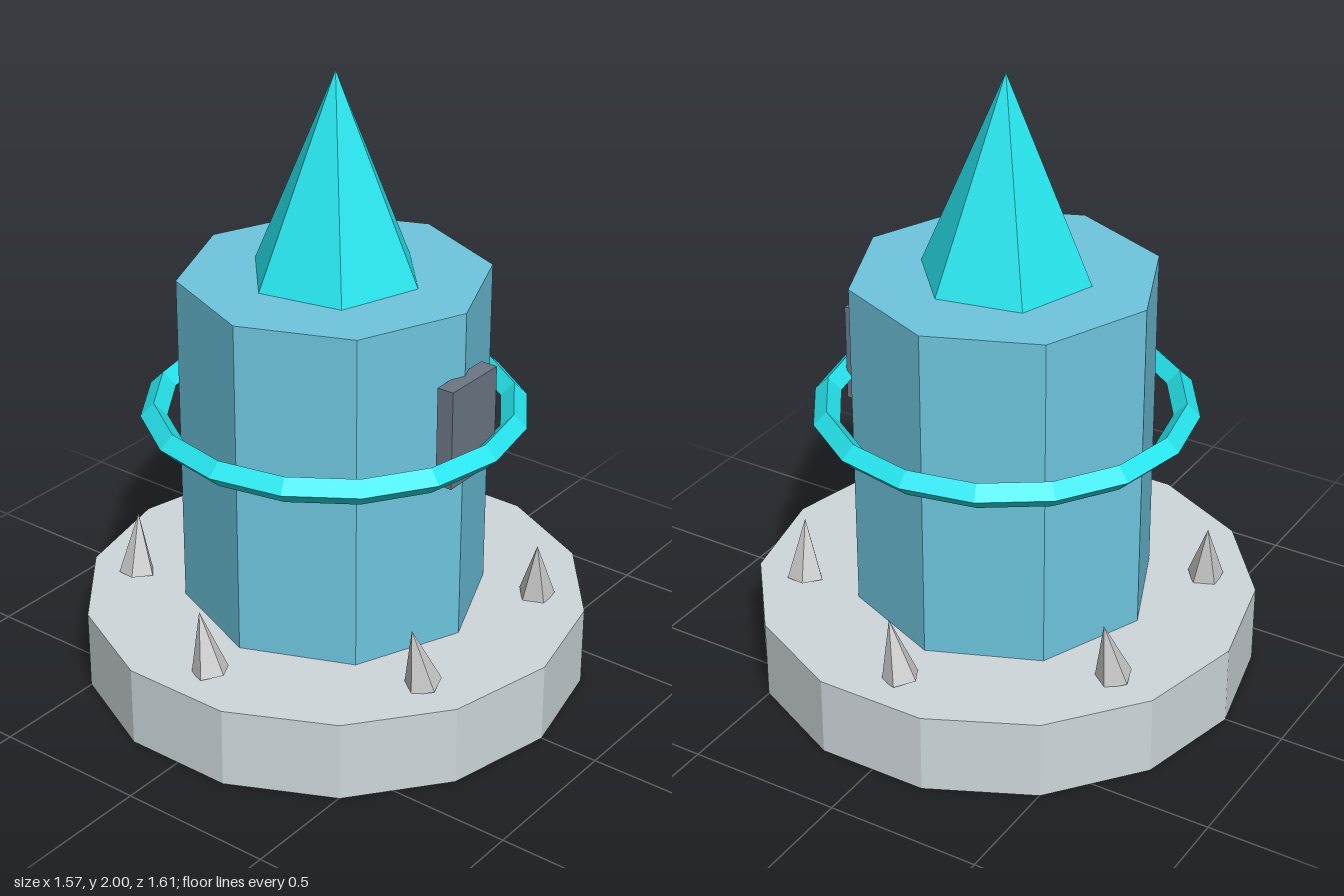
import * as THREE from 'three';

const mat = (color) => new THREE.MeshStandardMaterial({ color, flatShading: true });

function part(name, geometry, material, x = 0, y = 0, z = 0) {
  const mesh = new THREE.Mesh(geometry, material);
  mesh.name = name;
  mesh.position.set(x, y, z);
  return mesh;
}

export function createModel() {
  const model = new THREE.Group();
  model.name = 'crystalTower';
  const grey = mat(0xcccccc);
  const stone = mat(0xcfd8dc);
  const blue = mat(0x6ec6df);
  const cyan = mat(0x26e5ee);
  const slate = mat(0x6b7785);

  // Fourteen-sided base slab
  model.add(part('base', new THREE.CylinderGeometry(0.805, 0.805, 0.26, 14), stone, 0, 0.13, 0));

  // Octagonal tower body
  model.add(part('tower', new THREE.CylinderGeometry(0.484, 0.484, 1.095, 8), blue, 0, 0.8075, 0));

  // Six-sided pointed roof, turned slightly
  const roof = part('roof', new THREE.ConeGeometry(0.275, 0.645, 6), cyan, 0, 1.6775, 0);
  roof.rotation.y = 0.2;
  model.add(roof);

  // Floating ring with a diamond section
  const ring = part('ring', new THREE.TorusGeometry(0.564, 0.042, 4, 16), cyan, 0, 0.906, 0);
  ring.rotation.x = Math.PI / 2;
  model.add(ring);

  // Plate on the front corner of the tower
  model.add(part('plate', new THREE.BoxGeometry(0.226, 0.322, 0.056), slate, 0, 0.99, 0.493));

  // Six spikes around the base, each leaning along the circle
  const spikeGeometry = new THREE.ConeGeometry(0.06, 0.2, 5);
  spikeGeometry.rotateY(0.5);
  for (let i = 0; i < 6; i++) {
    const arm = new THREE.Group();
    arm.name = 'spikeMount';
    arm.rotation.y = -i * Math.PI / 3;
    const spike = part('spike', spikeGeometry, grey, 0.645, 0.362, 0);
    spike.rotation.x = 0.2;
    arm.add(spike);
    model.add(arm);
  }

  return model;
}
